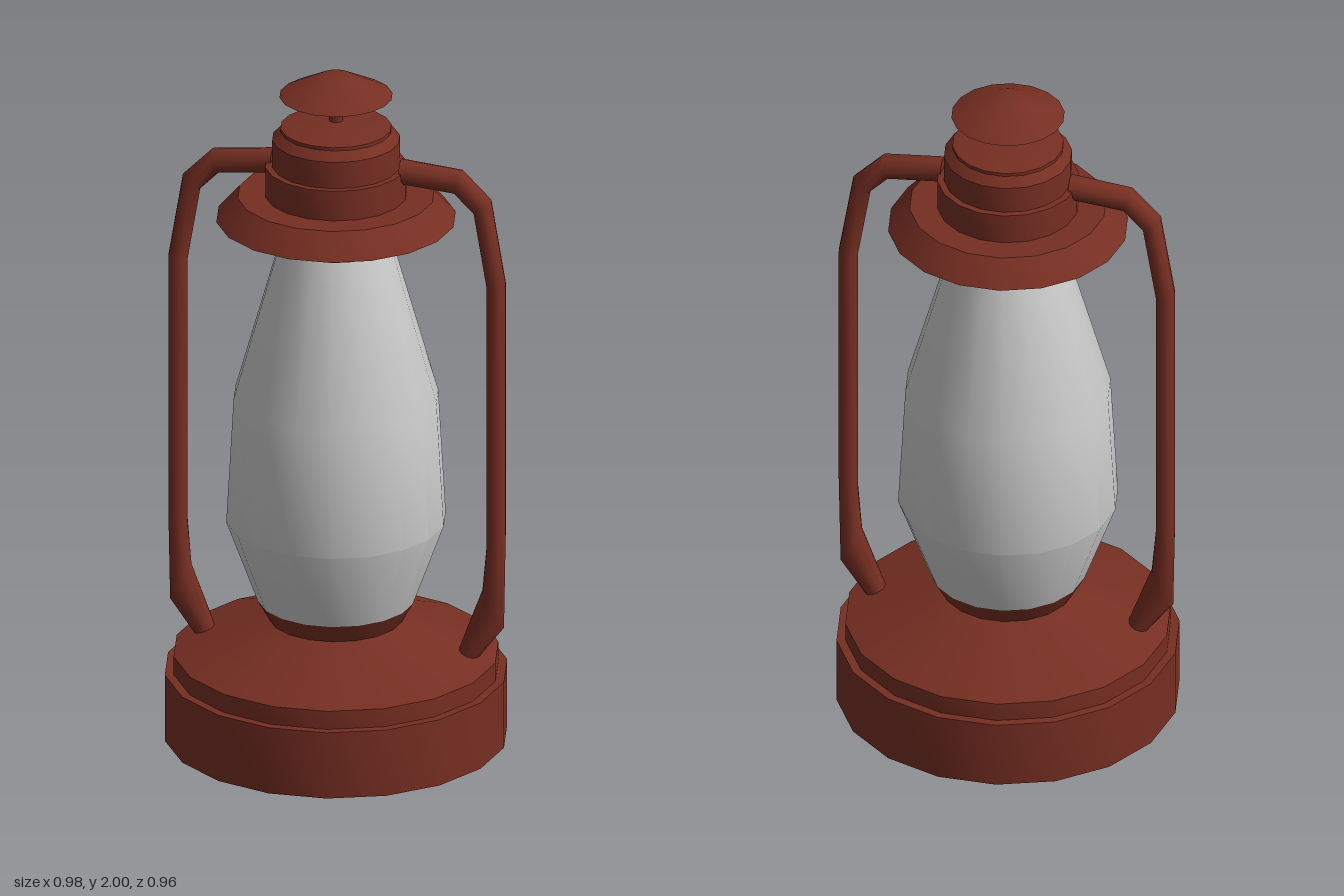
import * as THREE from 'three';
import { toCreasedNormals } from 'three/addons/utils/BufferGeometryUtils.js';

const SIDES = 18;

// Turned part from [radius, height] points, listed bottom to top
function turned(name, points, material) {
  const profile = points.map(([r, y]) => new THREE.Vector2(r, y));
  const lathe = new THREE.LatheGeometry(profile, SIDES, Math.PI / 2);
  const mesh = new THREE.Mesh(toCreasedNormals(lathe, 0.5), material);
  mesh.name = name;
  mesh.position.x = -0.003;
  return mesh;
}

// Bent tube lofted through [outerX, outerY, innerX, innerY] stations
function bentTube(stations, halfDepth, sides = 12) {
  const positions = [], index = [];
  const first = stations[0], last = stations[stations.length - 1];
  const middle = ([ox, oy, ix, iy]) => [(ox + ix) / 2, (oy + iy) / 2, (ox + ix) / 2, (oy + iy) / 2];
  const rings = [middle(first), ...stations, middle(last)];
  rings.forEach(([ox, oy, ix, iy], i) => {
    const isCap = i === 0 || i === rings.length - 1;
    for (let j = 0; j < sides; j++) {
      const t = (j / sides) * Math.PI * 2, c = Math.cos(t) / 2;
      positions.push(
        (ox + ix) / 2 + c * (ox - ix),
        (oy + iy) / 2 + c * (oy - iy),
        isCap ? 0 : halfDepth * Math.sin(t)
      );
      if (i === rings.length - 1) continue;
      const a = i * sides + j, b = i * sides + ((j + 1) % sides);
      index.push(a, b, a + sides, b, b + sides, a + sides);
    }
  });
  const geometry = new THREE.BufferGeometry();
  geometry.setAttribute('position', new THREE.Float32BufferAttribute(positions, 3));
  geometry.setIndex(index);
  return toCreasedNormals(geometry, 0.7);
}

export function createModel() {
  const lantern = new THREE.Group();
  lantern.name = 'lantern';
  const metal = new THREE.MeshStandardMaterial({ color: 0x762e22 });
  const glass = new THREE.MeshStandardMaterial({ color: 0xcccccc });

  // Fuel tank with stepped rim, sloping top and flared glass holder
  lantern.add(turned('base', [
    [0, 0], [0.485, 0], [0.485, 0.2], [0.46, 0.2], [0.46, 0.255],
    [0.19, 0.355], [0.222, 0.413], [0, 0.413],
  ], metal));

  // Bulging glass chimney
  lantern.add(turned('chimney', [
    [0.222, 0.413], [0.311, 0.657], [0.29, 1.03], [0.159, 1.495],
  ], glass));

  // Collar, brim and stepped hood
  lantern.add(turned('hood', [
    [0, 1.495], [0.159, 1.495], [0.178, 1.57], [0.339, 1.57], [0.278, 1.64],
    [0.2, 1.64], [0.2, 1.73], [0.181, 1.73], [0.181, 1.81],
    [0.157, 1.835], [0.157, 1.845], [0, 1.868],
  ], metal));

  // Stem and small rain cap
  lantern.add(turned('stem', [[0.02, 1.85], [0.02, 1.95]], metal));
  lantern.add(turned('cap', [[0, 1.94], [0.16, 1.94], [0.045, 2], [0, 2]], metal));

  // Side tubes, the second turned half way round
  const tube = bentTube([
    [0.185, 1.763, 0.185, 1.69],
    [0.36, 1.745, 0.34, 1.675],
    [0.445, 1.66, 0.395, 1.62],
    [0.487, 1.41, 0.432, 1.4],
    [0.487, 0.65, 0.432, 0.61],
    [0.482, 0.365, 0.42, 0.475],
    [0.41, 0.27, 0.35, 0.285],
  ], 0.034);
  ['leftTube', 'rightTube'].forEach((name, i) => {
    const mesh = new THREE.Mesh(tube, metal);
    mesh.name = name;
    mesh.rotation.y = i * Math.PI;
    lantern.add(mesh);
  });

  return lantern;
}
